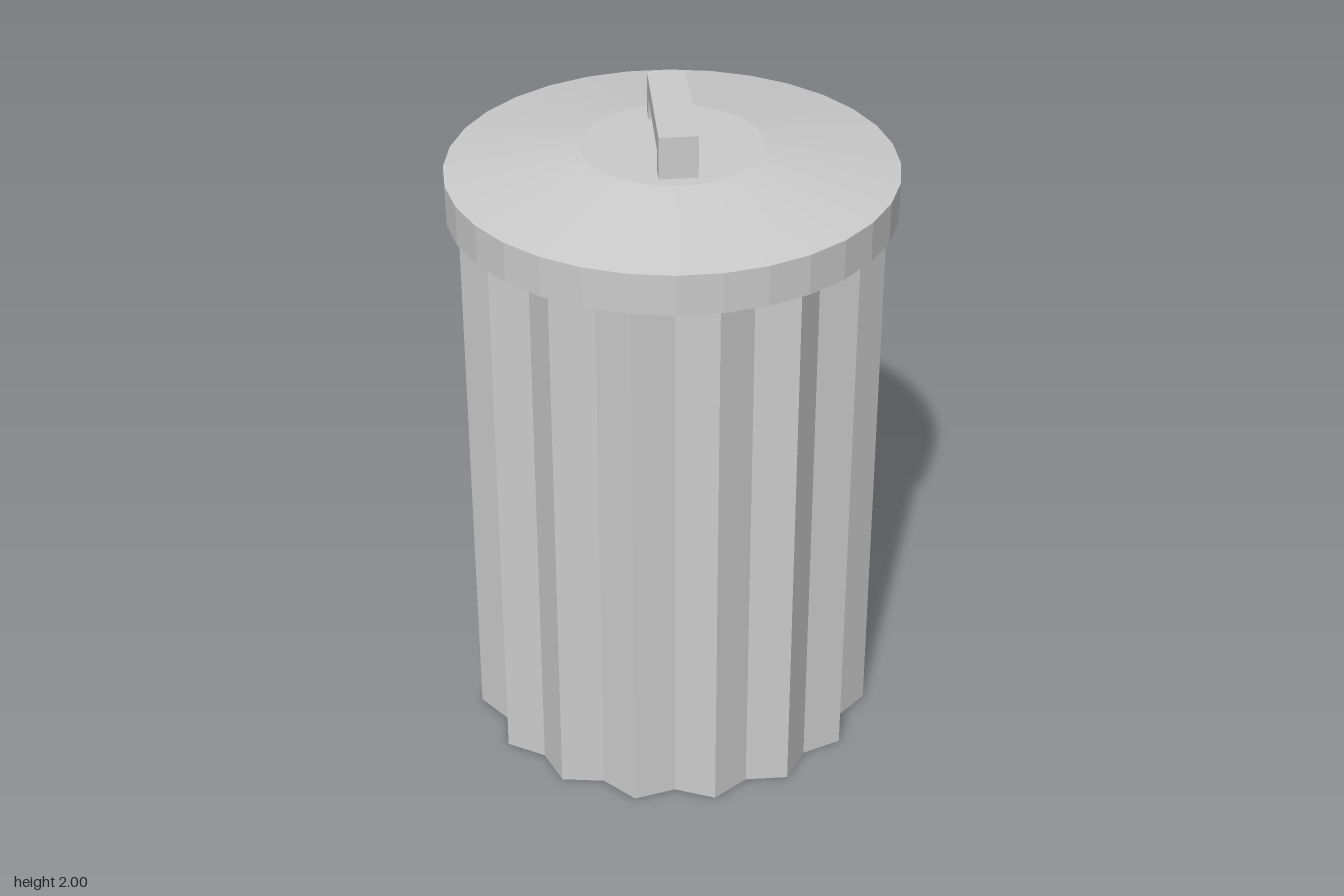
import * as THREE from 'three';

export function createModel() {
  const model = new THREE.Group();
  const grey = new THREE.MeshStandardMaterial({ color: 0xcccccc, flatShading: true });
  const thin = new THREE.MeshStandardMaterial({ color: 0xcccccc, flatShading: true, side: THREE.DoubleSide });

  const add = (name, geometry, material = grey) => {
    const mesh = new THREE.Mesh(geometry, material);
    mesh.name = name;
    model.add(mesh);
    return mesh;
  };

  // Fluted can: a star outline with 16 ridges, extruded upwards
  const ridges = 16;
  const outline = [];
  for (let i = 0; i < ridges * 2; i++) {
    const radius = i % 2 ? 0.56 : 0.612;
    const angle = (i * Math.PI) / ridges;
    outline.push(new THREE.Vector2(radius * Math.cos(angle), radius * Math.sin(angle)));
  }
  const can = new THREE.ExtrudeGeometry(new THREE.Shape(outline), { depth: 1.78, bevelEnabled: false });
  can.rotateX(-Math.PI / 2);
  add('can', can);

  // Lid: upright rim, shallow cone and flat centre, open underneath
  const lidProfile = [[0.645, 1.69], [0.645, 1.81], [0.26, 1.875], [0, 1.875]]
    .map(([r, y]) => new THREE.Vector2(r, y));
  add('lid', new THREE.LatheGeometry(lidProfile, 32), thin);

  // Handle: square-cut bridge set diagonally across the lid
  const half = 0.216, inner = 0.162, width = 0.11;
  const bridge = new THREE.Shape([
    [-half, 1.87], [-inner, 1.87], [-inner, 1.938], [inner, 1.938],
    [inner, 1.87], [half, 1.87], [half, 2], [-half, 2],
  ].map(([x, y]) => new THREE.Vector2(x, y)));
  const handle = new THREE.ExtrudeGeometry(bridge, { depth: width, bevelEnabled: false });
  handle.translate(0, 0, -width / 2);
  add('handle', handle).rotation.y = Math.PI / 3;

  return model;
}
